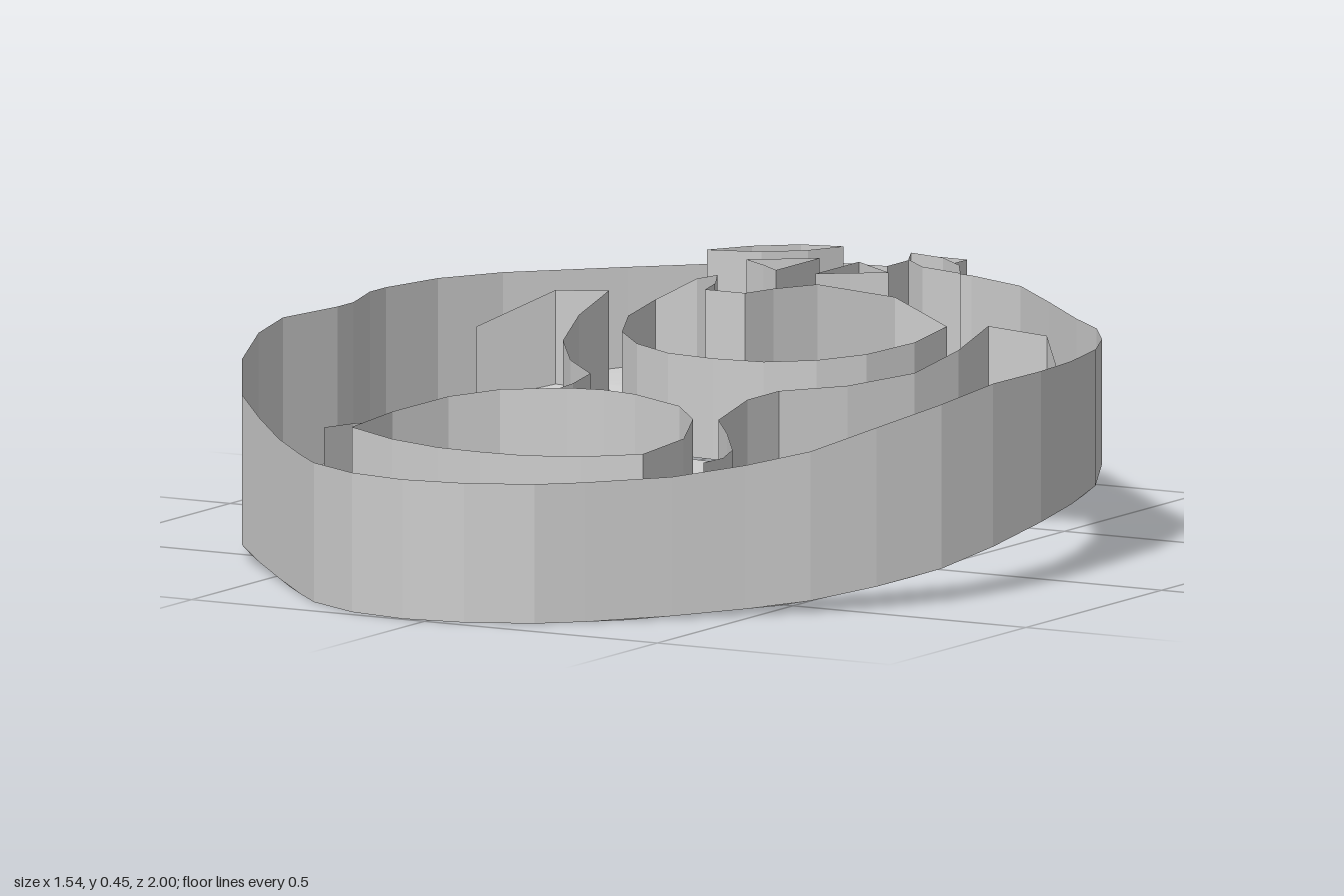
import * as THREE from 'three';

const material = new THREE.MeshStandardMaterial({ color: 0xcccccc, flatShading: true, side: THREE.DoubleSide });

// Piecewise linear height profile along z
function profile(points) {
  return z => {
    if (z <= points[0][0]) return points[0][1];
    for (let i = 1; i < points.length; i++) {
      const [z0, y0] = points[i - 1], [z1, y1] = points[i];
      if (z <= z1) return y0 + (y1 - y0) * (z - z0) / (z1 - z0);
    }
    return points[points.length - 1][1];
  };
}
const rimTop = profile([[0.18, 0.4], [0.4, 0.36], [0.5, 0.32], [0.6, 0.29], [0.7, 0.27], [0.78, 0.262]]);
const floorHeight = profile([[-1, 0.187], [-0.86, 0.18], [-0.83, 0.205], [-0.75, 0.22], [-0.6, 0.212], [-0.5, 0.2],
  [-0.4, 0.178], [-0.2, 0.14], [0, 0.125], [0.2, 0.09], [0.4, 0.05], [0.6, 0.015], [0.8, 0]]);
const waistTop = profile([[-0.46, 0.38], [-0.35, 0.35], [-0.24, 0.32], [-0.13, 0.305], [0.05, 0.295], [0.2, 0.28],
  [0.38, 0.26], [0.59, 0.27]]);
const archTop = profile([[-0.47, 0.37], [-0.36, 0.355], [-0.15, 0.33], [0.26, 0.328], [0.31, 0.32], [0.5, 0.295],
  [0.65, 0.287], [0.71, 0.275]]);

const mirrorX = pts => pts.map(([x, ...rest]) => [-0.095 - x, ...rest]).reverse();
const toVectors = pts => pts.map(([x, z]) => new THREE.Vector2(x, -z));

// Outline of the frame with the tab at the back
const outline = [[-0.05, 0.995], [0.07, 0.975], [0.19, 0.92], [0.26, 0.855], [0.38, 0.74], [0.48, 0.64], [0.57, 0.555],
  [0.65, 0.45], [0.72, 0.33], [0.755, 0.2], [0.77, 0.05], [0.76, -0.08], [0.73, -0.22], [0.68, -0.33], [0.61, -0.43],
  [0.52, -0.51], [0.38, -0.65], [0.24, -0.785], [0.1, -0.845], [0, -0.86], [0, -1], [-0.09, -1], [-0.09, -0.86],
  [-0.2, -0.845], [-0.31, -0.79], [-0.5, -0.61], [-0.67, -0.44], [-0.74, -0.32], [-0.77, -0.18], [-0.77, -0.12],
  [-0.735, 0], [-0.735, 0.06], [-0.77, 0.2], [-0.77, 0.29], [-0.73, 0.42], [-0.66, 0.54], [-0.57, 0.63],
  [-0.47, 0.73], [-0.36, 0.84], [-0.29, 0.91], [-0.17, 0.975]];

// Side openings share the waisted inner edge
const waist = [[0.36, 0.59], [0.35, 0.5], [0.3, 0.38], [0.23, 0.28], [0.165, 0.2], [0.14, 0.05], [0.155, -0.04],
  [0.25, -0.13], [0.33, -0.24], [0.36, -0.35], [0.36, -0.46]];
const leftSide = [...waist, [0.48, -0.47], [0.58, -0.35], [0.64, -0.2], [0.675, -0.05], [0.675, 0.08], [0.66, 0.2],
  [0.6, 0.35], [0.5, 0.47]];
const rightSide = [...mirrorX(waist), [-0.6, 0.45], [-0.66, 0.33], [-0.68, 0.25], [-0.67, 0.14], [-0.64, 0.04],
  [-0.65, -0.02], [-0.69, -0.12], [-0.69, -0.2], [-0.66, -0.33], [-0.6, -0.42]];

// Waist wall, running out along the rear edge; third number is the wall height
const waistWall = [...waist, [0.48, -0.47, 0.37], [0.58, -0.35, 0.31]];

// Front opening, a round arch with a bowed front edge
const frontHalf = [[-0.047, 0.715], [-0.14, 0.71], [-0.25, 0.69], [-0.36, 0.65], [-0.36, 0.5], [-0.31, 0.38],
  [-0.24, 0.31], [-0.12, 0.268], [-0.047, 0.26]];
const front = [...frontHalf, ...mirrorX(frontHalf).slice(1, -1)];

// Rear opening around the stem
const rearHalf = [[-0.047, -0.145], [-0.15, -0.155], [-0.24, -0.195], [-0.31, -0.26], [-0.355, -0.36], [-0.36, -0.47],
  [-0.26, -0.45, 0.42], [-0.155, -0.345, 0.45], [-0.11, -0.26, 0.45], [-0.09, -0.19, 0.45]];
const rear = [...rearHalf, ...mirrorX(rearHalf).slice(0, -1)];

// Small ornamental openings beside the stem
const leaf = [[-0.32, -0.59], [-0.27, -0.67], [-0.2, -0.73], [-0.12, -0.75], [-0.155, -0.68], [-0.22, -0.62]];
const diamond = [[-0.2, -0.53], [-0.13, -0.58], [-0.09, -0.61], [-0.09, -0.45], [-0.14, -0.49]];

function makeMesh(name, positions) {
  const geometry = new THREE.BufferGeometry();
  geometry.setAttribute('position', new THREE.Float32BufferAttribute(positions, 3));
  geometry.computeVertexNormals();
  const mesh = new THREE.Mesh(geometry, material);
  mesh.name = name;
  return mesh;
}

// Thin upright wall along a path, between two height rules
function wall(name, pts, bottom, top, closed = true) {
  const positions = [];
  const count = closed ? pts.length : pts.length - 1;
  for (let i = 0; i < count; i++) {
    const a = pts[i], b = pts[(i + 1) % pts.length];
    const a0 = [a[0], bottom(a), a[1]], a1 = [a[0], top(a), a[1]];
    const b0 = [b[0], bottom(b), b[1]], b1 = [b[0], top(b), b[1]];
    positions.push(...a0, ...b0, ...b1, ...a0, ...b1, ...a1);
  }
  return makeMesh(name, positions);
}

// Pierced sheet, divided finely enough to follow the height profile
function floorSheet() {
  const shape = new THREE.Shape(toVectors(outline));
  for (const hole of [leftSide, rightSide, front, rear, leaf, mirrorX(leaf), diamond, mirrorX(diamond)]) {
    shape.holes.push(new THREE.Path(toVectors(hole)));
  }
  const flatSheet = new THREE.ShapeGeometry(shape).toNonIndexed().attributes.position;
  const positions = [];
  const addTriangle = (a, b, c) => {
    const ab = a.distanceTo(b), bc = b.distanceTo(c), ca = c.distanceTo(a);
    const longest = Math.max(ab, bc, ca);
    if (longest < 0.09) {
      for (const p of [a, b, c]) positions.push(p.x, floorHeight(-p.y), -p.y);
    } else if (longest > ab) {
      // turn the triangle until its longest edge comes first
      addTriangle(b, c, a);
    } else {
      const mid = a.clone().lerp(b, 0.5);
      addTriangle(a, mid, c);
      addTriangle(mid, b, c);
    }
  };
  for (let i = 0; i < flatSheet.count; i += 3) {
    addTriangle(...[0, 1, 2].map(k => new THREE.Vector2(flatSheet.getX(i + k), flatSheet.getY(i + k))));
  }
  return makeMesh('piercedFloor', positions);
}

export function createModel() {
  const group = new THREE.Group();
  group.name = 'curvedFrame';
  group.add(floorSheet());

  // Upright walls
  const flat = y => () => y;
  const along = rule => p => p[2] ?? rule(p[1]);
  const onFloor = p => floorHeight(p[1]);
  group.add(wall('outerWall', outline, onFloor, along(rimTop)));
  group.add(wall('frontOpeningWall', front, flat(0.03), along(archTop)));
  group.add(wall('rearOpeningWall', rear, flat(0.14), along(archTop)));
  for (const [side, flip] of [['left', p => p], ['right', mirrorX]]) {
    group.add(wall(side + 'WaistWall', flip(waistWall), onFloor, along(waistTop), false));
    group.add(wall(side + 'LeafWall', flip(leaf), flat(0.2), flat(0.45)));
    group.add(wall(side + 'DiamondWall', flip(diamond), flat(0.167), flat(0.45)));
  }
  return group;
}
